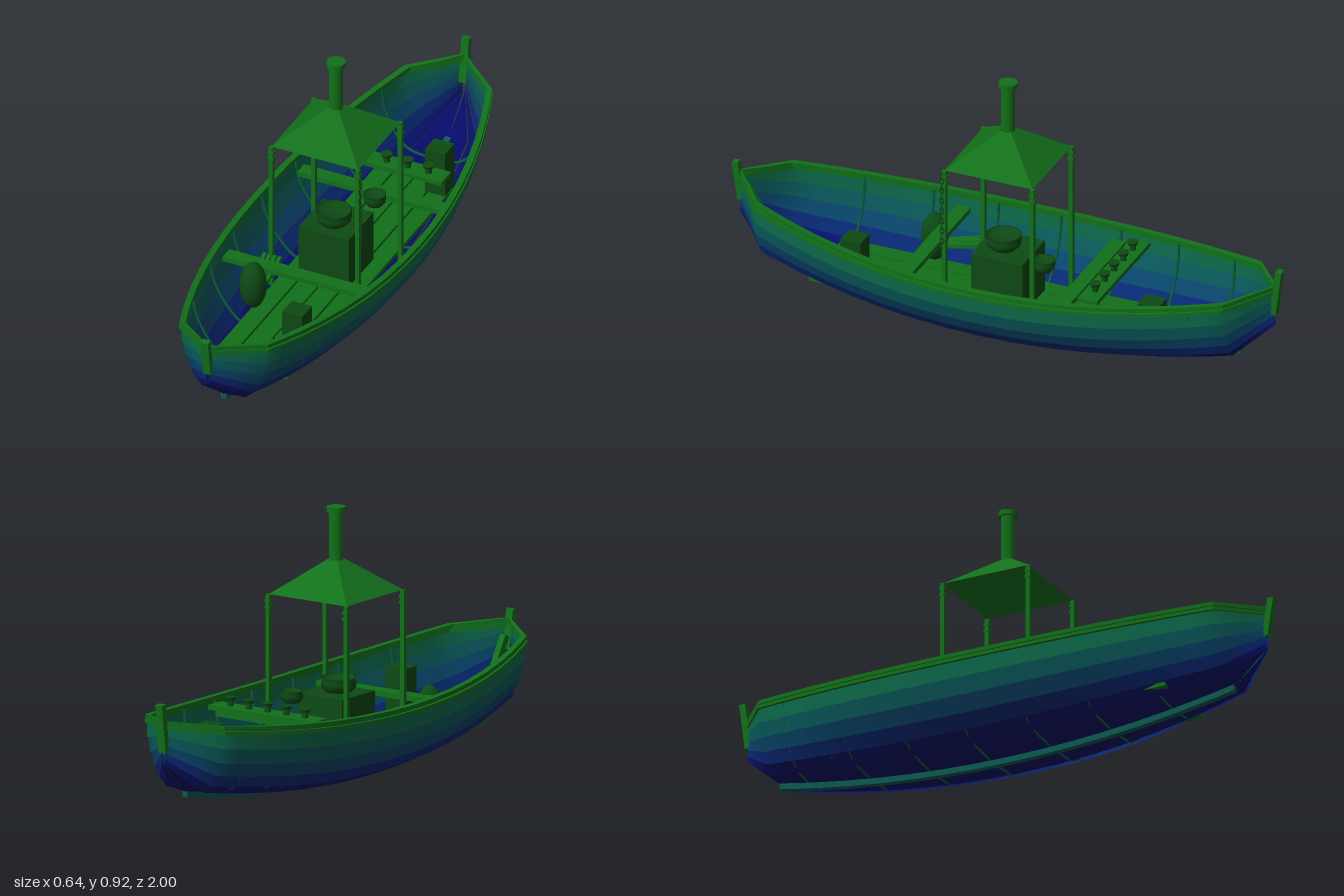
import * as THREE from 'three';

const WOOD = 0x12701a;
const mat = (color, flat = false) =>
  new THREE.MeshStandardMaterial({ color, flatShading: flat, side: THREE.DoubleSide });
const wood = mat(WOOD), woodFlat = mat(WOOD, true), iron = mat(0x0d4a14);
const STRAKES = [0x070a66, 0x07106c, 0x082874, 0x08466c, 0x0a5a5c, 0x0c6a4a];

// Midship section, as fractions of half beam and of depth
const FX = [0, 0.45, 0.645, 0.775, 0.89, 0.965, 1];
const FY = [0, 0.04, 0.15, 0.31, 0.5, 0.71, 1];
const TIP = 0.97, SHOULDER = 0.85;
const keelY = z => 0.025 + 0.085 * (z / SHOULDER) ** 2;
const sheerY = z => 0.285 + 0.08 * (z / TIP) ** 2;

// Points [x, y] of the half section at z, keel to sheer
function section(z) {
  const a = Math.min(Math.abs(z), SHOULDER);
  const t = Math.max(0, (Math.abs(z) - SHOULDER) / (TIP - SHOULDER));
  const beam = 0.31 * (1 - (a / 1.19) ** 2.1), k = keelY(a), s = sheerY(a);
  return FX.map((fx, i) => [
    THREE.MathUtils.lerp(beam * fx, 0.004, t),
    THREE.MathUtils.lerp(k + (s - k) * FY[i], 0.22 + 0.145 * FY[i], t)
  ]);
}
const half = [0, 0.12, 0.24, 0.36, 0.48, 0.6, 0.7, 0.78, SHOULDER, 0.91, TIP];
const stations = [...half.slice(1).reverse().map(z => -z), ...half];

// Skin between cross-sections (rows of [x, y, z]); closed rows get end caps
function loft(rows, closed = false) {
  const n = rows[0].length, pos = rows.flat(2), idx = [];
  for (let r = 0; r < rows.length - 1; r++) {
    for (let i = 0; i < (closed ? n : n - 1); i++) {
      const j = (i + 1) % n, a = r * n + i, b = r * n + j;
      idx.push(a, b, a + n, b, b + n, a + n);
    }
  }
  if (closed) {
    const e = (rows.length - 1) * n;
    for (let i = 1; i < n - 1; i++) idx.push(0, i + 1, i, e, e + i, e + i + 1);
  }
  const g = new THREE.BufferGeometry();
  g.setAttribute('position', new THREE.Float32BufferAttribute(pos, 3));
  g.setIndex(idx);
  g.computeVertexNormals();
  return g;
}
const rect = (x0, x1, y0, y1, z) => [[x0, y0, z], [x1, y0, z], [x1, y1, z], [x0, y1, z]];

export function createModel() {
  const root = new THREE.Group();
  const add = (name, geo, m = wood, x = 0, y = 0, z = 0) => {
    const mesh = new THREE.Mesh(geo, m);
    mesh.name = name;
    mesh.position.set(x, y, z);
    root.add(mesh);
    return mesh;
  };
  const box = (name, w, h, d, x, y, z, m = wood) => add(name, new THREE.BoxGeometry(w, h, d), m, x, y, z);
  const cyl = (name, r0, r1, h, x, y, z, n = 16, m = wood) =>
    add(name, new THREE.CylinderGeometry(r0, r1, h, n), m, x, y, z);
  // Square bar between two points
  const bar = (name, a, b, w, d) => {
    const p = new THREE.Vector3(...a), dir = new THREE.Vector3(...b).sub(p);
    const mesh = box(name, w, dir.length(), d, 0, 0, 0);
    mesh.position.copy(p).addScaledVector(dir, 0.5);
    mesh.quaternion.setFromUnitVectors(new THREE.Vector3(0, 1, 0), dir.normalize());
    return mesh;
  };

  // Overlapping hull planks, rails and rubbing strakes
  for (const side of [-1, 1]) {
    STRAKES.forEach((color, i) => {
      const lap = i ? 0.004 : 0;
      add('hullStrake', loft(stations.map(z => {
        const s = section(z);
        return [[side * (s[i][0] + lap), s[i][1] - lap, z], [side * s[i + 1][0], s[i + 1][1], z]];
      })), mat(color));
    });
    const rail = (name, x0, x1, y0, y1) => add(name, loft(stations.map(z => {
      const [x, y] = section(z)[6];
      return rect(side * Math.max(0, x + x0), side * (x + x1), y + y0, y + y1, z);
    }), true), woodFlat);
    rail('gunwale', -0.016, 0.006, -0.008, 0.006);
    rail('rubbingStrake', -0.002, 0.009, -0.024, -0.012);
  }

  // Keel and stem posts
  add('keel', loft(stations.filter(z => Math.abs(z) <= SHOULDER).map(z =>
    rect(-0.011, 0.011, keelY(z) - 0.02, keelY(z) + 0.004, z)), true), mat(0x0b5a50, true));
  bar('frontStem', [0, 0.265, 0.967], [0, 0.4, 0.988], 0.028, 0.022);
  bar('backStem', [0, 0.265, -0.967], [0, 0.43, -0.988], 0.028, 0.022);
  bar('stemKnee', [0, 0.205, 0.885], [0, 0.315, 0.95], 0.022, 0.025);

  // Ribs
  for (const z of [-0.74, -0.51, -0.285, -0.06, 0.165, 0.39, 0.62]) {
    const s = section(z).map(([x, y]) => [x * 0.985, y + 0.004]);
    const pts = [...s.slice(1).reverse().map(([x, y]) => [-x, y]), ...s];
    const curve = new THREE.CatmullRomCurve3(pts.map(([x, y]) => new THREE.Vector3(x, y, z)));
    add('rib', new THREE.TubeGeometry(curve, 40, 0.005, 6), mat(0x0b5a40));
  }

  // Floor boards and thwarts
  for (const side of [-1, 1]) {
    box('innerFloorBoard', 0.07, 0.014, 1.38, side * 0.038, 0.1, 0.02);
    box('outerFloorBoard', 0.064, 0.014, 1.25, side * 0.112, 0.1, 0.035);
  }
  for (const z of [-0.285, 0.28]) box('thwart', 0.54, 0.018, 0.05, 0, 0.241, z);

  // Serving shelf with a row of cups
  box('shelf', 0.44, 0.016, 0.07, 0, 0.289, -0.385);
  for (let i = -2; i <= 2; i++) {
    cyl('cupStem', 0.009, 0.012, 0.022, i * 0.077, 0.306, -0.385, 12, iron);
    cyl('cup', 0.02, 0.016, 0.012, i * 0.077, 0.322, -0.385, 14, iron);
  }

  // Stove with cooking pots
  box('stove', 0.186, 0.19, 0.186, 0, 0.2, 0, iron);
  const pot = (name, r, h, x, y, z) => add(name, new THREE.LatheGeometry(
    [[0, 0], [0.7, 0], [0.95, 0.3], [1, 0.65], [0.9, 0.85], [1, 1], [0.92, 1], [0.8, 0.75], [0, 0.7]]
      .map(([u, v]) => new THREE.Vector2(u * r, v * h)), 20), iron, x, y, z);
  pot('largePot', 0.06, 0.05, 0, 0.293, 0.015);
  pot('smallPot', 0.038, 0.04, 0.065, 0.28, -0.16);

  // Canopy on four banded posts
  for (const x of [-0.16, 0.16]) for (const z of [-0.16, 0.16]) {
    box('canopyPost', 0.015, 0.55, 0.015, x, 0.36, z);
    for (const y of [0.592, 0.614]) box('postBand', 0.02, 0.01, 0.02, x, y, z);
  }
  const canopy = new THREE.CylinderGeometry(0.028, 0.16 * Math.SQRT2, 0.113, 4, 1, true);
  canopy.rotateY(Math.PI / 4);
  add('canopy', canopy, woodFlat, 0, 0.692, 0);

  // Chimney
  cyl('chimney', 0.024, 0.024, 0.18, 0, 0.83, 0, 20);
  cyl('chimneyCap', 0.032, 0.032, 0.018, 0, 0.918, 0, 20);

  // Hanging chain on one post
  for (let i = 0; i < 15; i++) {
    const link = add('chainLink', new THREE.TorusGeometry(0.007, 0.002, 5, 10), iron, 0.17, 0.618 - i * 0.019, 0.165);
    link.scale.y = 1.5;
    link.rotation.y = i % 2 ? Math.PI / 2 : 0;
  }

  // Crates, sack and bundle of sticks
  for (const z of [-0.57, 0.51]) box('crate', 0.074, 0.17, 0.074, 0.105, 0.19, z, iron);
  const sack = add('sack', new THREE.SphereGeometry(0.046, 18, 12), iron, -0.145, 0.19, 0.33);
  sack.scale.y = 1.9;
  for (let i = 0; i < 4; i++)
    bar('stick', [-0.185 + i * 0.019, 0.2, 0.16], [-0.165 + i * 0.014, 0.16, 0.34], 0.013, 0.013);

  return root;
}
